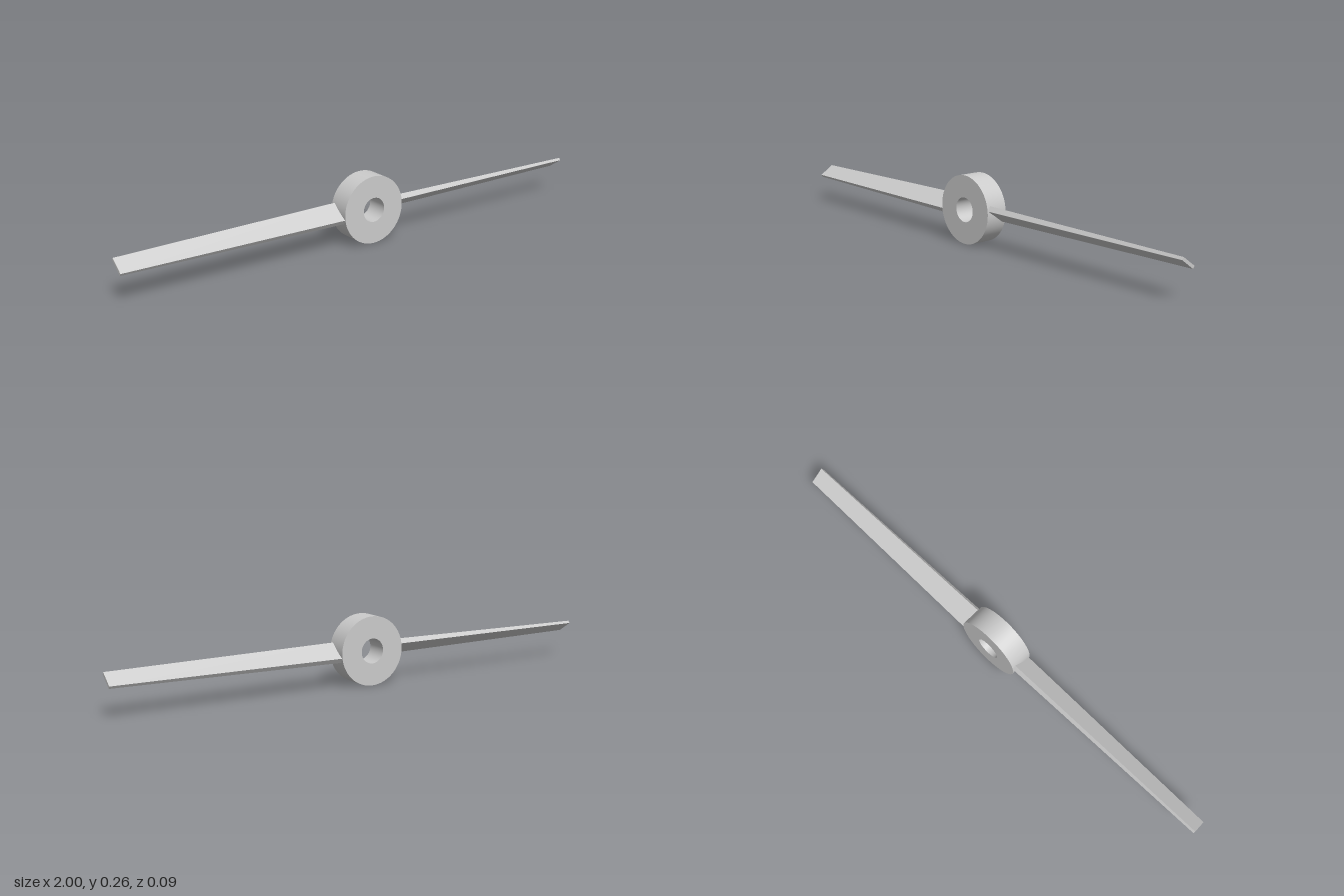
import * as THREE from 'three';

const material = new THREE.MeshStandardMaterial({ color: 0xcccccc });
const HUB_RADIUS = 0.131;
const HUB_DEPTH = 0.088;
const BORE_RADIUS = 0.047;

// Ring with a central bore, its axis along z
function createHub() {
  const ring = new THREE.Shape().absarc(0, 0, HUB_RADIUS, 0, Math.PI * 2, false);
  ring.holes.push(new THREE.Path().absarc(0, 0, BORE_RADIUS, 0, Math.PI * 2, true));
  const geometry = new THREE.ExtrudeGeometry(ring, {
    depth: HUB_DEPTH, bevelEnabled: false, curveSegments: 48,
  });
  geometry.translate(0, 0, -HUB_DEPTH / 2);
  // Radial normals keep the round walls smooth and the rims sharp
  const { position, normal } = geometry.attributes;
  for (let i = 0; i < position.count; i++) {
    if (Math.abs(normal.getZ(i)) > 0.5) continue;
    const x = position.getX(i), y = position.getY(i), r = Math.hypot(x, y);
    const sign = r > (HUB_RADIUS + BORE_RADIUS) / 2 ? 1 : -1;
    normal.setXYZ(i, sign * x / r, sign * y / r, 0);
  }
  const hub = new THREE.Mesh(geometry, material);
  hub.name = 'hub';
  return hub;
}

// Flat blade tapering in chord and thickness, pitched about its length
function createBlade(name, turn) {
  const start = 0.11, end = 1, pitch = -0.6;
  const geometry = new THREE.BoxGeometry(1, 1, 1);
  const position = geometry.attributes.position;
  for (let i = 0; i < position.count; i++) {
    const t = position.getX(i) + 0.5;
    position.setXYZ(i,
      THREE.MathUtils.lerp(start, end, t),
      position.getY(i) * THREE.MathUtils.lerp(0.022, 0.011, t),
      position.getZ(i) * THREE.MathUtils.lerp(0.087, 0.067, t));
  }
  geometry.rotateX(pitch);
  geometry.rotateZ(turn);
  const flat = geometry.toNonIndexed();
  flat.computeVertexNormals();
  const blade = new THREE.Mesh(flat, material);
  blade.name = name;
  return blade;
}

export function createModel() {
  const propeller = new THREE.Group();
  propeller.name = 'propeller';
  propeller.add(
    createHub(),
    createBlade('leftBlade', 0),
    createBlade('rightBlade', Math.PI),
  );
  propeller.position.y = HUB_RADIUS;
  const model = new THREE.Group();
  model.name = 'model';
  model.add(propeller);
  return model;
}
